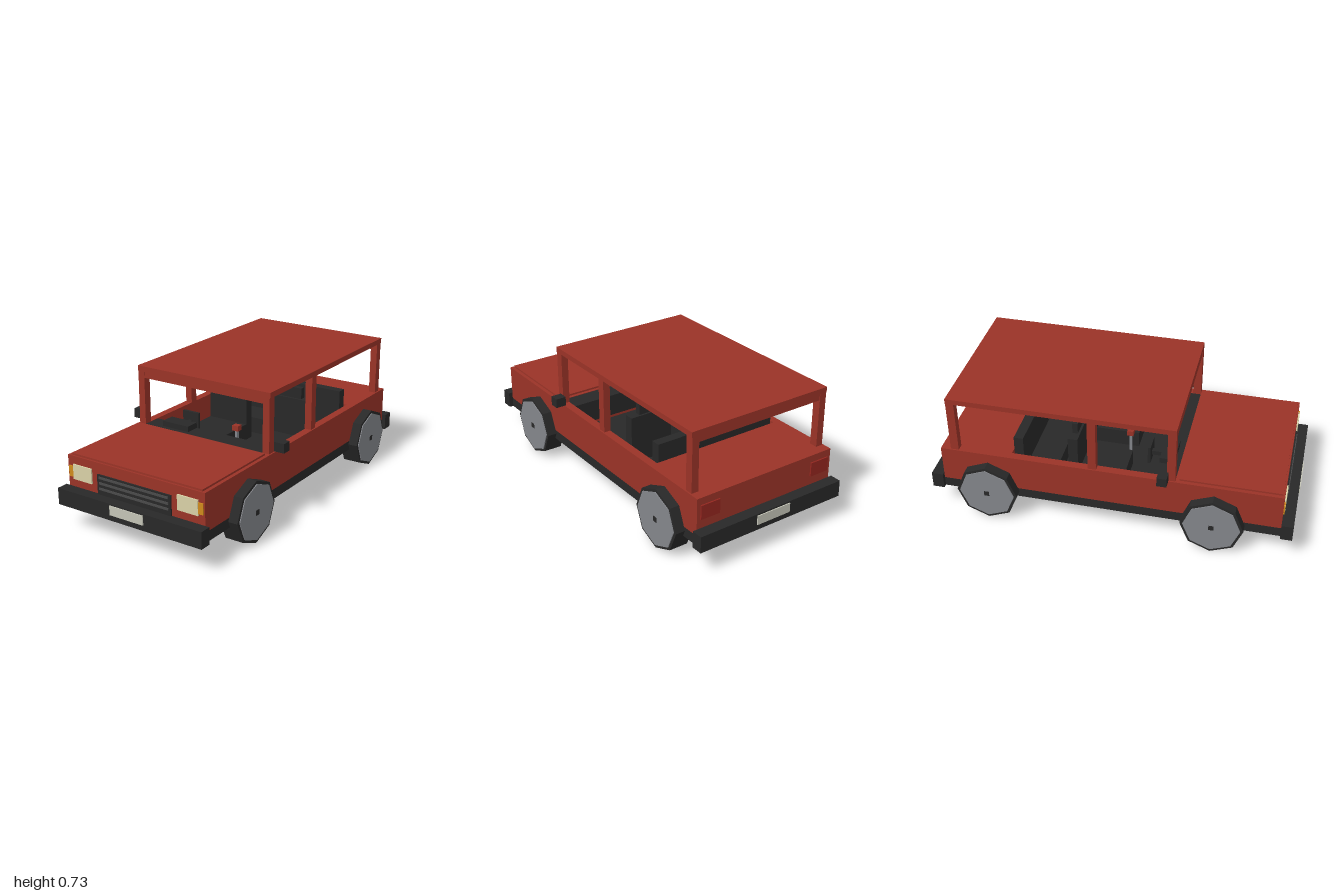
import * as THREE from 'three';

const mat = (name, color) => {
  const m = new THREE.MeshStandardMaterial({ color });
  m.name = name;
  return m;
};

export function createModel() {
  const paint = mat('red paint', 0x9a3327);
  const trim = mat('black trim', 0x282828);
  const hubGrey = mat('hub grey', 0x84868b);
  const slatGrey = mat('slat grey', 0x4a4a4a);
  const lampCream = mat('lamp cream', 0xd9d1a6);
  const amber = mat('amber', 0xcf8a1c);
  const tailRed = mat('tail red', 0x94261f);
  const plateWhite = mat('plate white', 0xc4c4b6);

  const car = new THREE.Group();
  car.name = 'car';

  // Box given by its extents on each axis
  const box = (name, m, [x0, x1], [y0, y1], [z0, z1], parent = car) => {
    const mesh = new THREE.Mesh(new THREE.BoxGeometry(x1 - x0, y1 - y0, z1 - z0), m);
    mesh.position.set((x0 + x1) / 2, (y0 + y1) / 2, (z0 + z1) / 2);
    mesh.name = name;
    parent.add(mesh);
    return mesh;
  };
  // The same box on both sides of the car
  const pair = (name, m, [x0, x1], ys, zs) => {
    box(name + 'Left', m, [x0, x1], ys, zs);
    box(name + 'Right', m, [-x1, -x0], ys, zs);
  };

  // Lower body: chassis, nose, tail and cabin walls around an open interior
  box('chassis', trim, [-0.43, 0.43], [0.135, 0.19], [-0.93, 0.93]);
  box('nose', paint, [-0.43, 0.43], [0.19, 0.395], [0.36, 0.93]);
  box('tail', paint, [-0.43, 0.43], [0.19, 0.395], [-0.93, -0.54]);
  pair('cabinWall', paint, [0.385, 0.43], [0.19, 0.395], [-0.54, 0.36]);
  box('hood', paint, [-0.41, 0.41], [0.395, 0.405], [0.38, 0.92]);

  // Roof and pillars
  box('roof', paint, [-0.425, 0.425], [0.695, 0.725], [-0.875, 0.36]);
  [[0.315, 0.36], [-0.11, -0.065], [-0.875, -0.83]].forEach((zs, i) =>
    pair(['frontPillar', 'middlePillar', 'rearPillar'][i], paint, [0.382, 0.422], [0.395, 0.695], zs));
  box('frontHeader', paint, [-0.382, 0.382], [0.66, 0.695], [0.32, 0.357]);
  box('rearHeader', paint, [-0.382, 0.382], [0.66, 0.695], [-0.872, -0.835]);

  // Bumpers and number plates, front and rear
  for (const [end, s] of [['front', 1], ['rear', -1]]) {
    const span = (a, b) => (s > 0 ? [a, b] : [-b, -a]);
    box(end + 'Bumper', trim, [-0.453, 0.453], [0.135, 0.226], span(0.93, 0.994));
    box(end + 'Plate', plateWhite, [-0.105, 0.105], [0.167, 0.218], span(0.994, 1.0));
  }

  // Lamps and grille
  pair('headlight', lampCream, [0.27, 0.393], [0.27, 0.352], [0.93, 0.938]);
  pair('indicator', amber, [0.393, 0.422], [0.281, 0.34], [0.93, 0.937]);
  pair('tailLight', tailRed, [0.295, 0.41], [0.277, 0.355], [-0.938, -0.93]);
  box('grille', trim, [-0.232, 0.232], [0.226, 0.335], [0.93, 0.938]);
  for (const y of [0.26, 0.29, 0.32])
    box('grilleSlat', slatGrey, [-0.218, 0.218], [y - 0.006, y + 0.006], [0.938, 0.942]);

  // Door mirrors
  pair('mirror', trim, [0.43, 0.49], [0.403, 0.455], [0.273, 0.326]);

  // Dashboard, instrument hood and steering
  box('dashboard', trim, [-0.385, 0.385], [0.27, 0.393], [0.25, 0.36]);
  box('instrumentHood', trim, [-0.285, -0.115], [0.393, 0.424], [0.25, 0.33]);
  box('steeringWheel', trim, [-0.25, -0.145], [0.35, 0.453], [0.178, 0.193]);
  box('steeringColumn', trim, [-0.21, -0.185], [0.38, 0.405], [0.193, 0.26]);

  // Gear lever
  box('gearLever', hubGrey, [-0.008, 0.008], [0.19, 0.335], [0.022, 0.038]);
  box('gearKnob', paint, [-0.02, 0.02], [0.335, 0.365], [0.012, 0.048]);

  // Seats
  pair('seatCushion', trim, [0.08, 0.335], [0.19, 0.285], [-0.24, 0.06]);
  pair('seatBack', trim, [0.08, 0.335], [0.285, 0.505], [-0.24, -0.187]);
  pair('headrest', trim, [0.135, 0.278], [0.505, 0.567], [-0.229, -0.199]);
  box('rearSeatCushion', trim, [-0.37, 0.37], [0.19, 0.285], [-0.53, -0.31]);
  box('rearSeatBack', trim, [-0.37, 0.37], [0.285, 0.49], [-0.53, -0.478]);

  // Octagonal wheels with a grey hub disc and a small centre cap
  const tyre = new THREE.CylinderGeometry(0.17, 0.17, 0.105, 8).rotateZ(-Math.PI / 2);
  const hub = new THREE.CylinderGeometry(0.154, 0.154, 0.006, 8).rotateZ(-Math.PI / 2);
  const flat = (g) => {
    const f = g.toNonIndexed();
    f.computeVertexNormals();
    return f;
  };
  const tyreGeo = flat(tyre), hubGeo = flat(hub);
  for (const [end, z] of [['front', 0.57], ['rear', -0.668]])
    for (const [side, s] of [['Left', 1], ['Right', -1]]) {
      const wheel = new THREE.Group();
      wheel.name = end + 'Wheel' + side;
      const t = new THREE.Mesh(tyreGeo, trim);
      t.name = 'tyre';
      const h = new THREE.Mesh(hubGeo, hubGrey);
      h.name = 'hub';
      h.position.x = 0.0545;
      wheel.add(t, h);
      box('centreCap', trim, [0.056, 0.06], [-0.014, 0.014], [-0.014, 0.014], wheel);
      wheel.position.set(s * 0.431, 0.17, z);
      if (s < 0) wheel.rotation.y = Math.PI;
      car.add(wheel);
    }

  return car;
}
